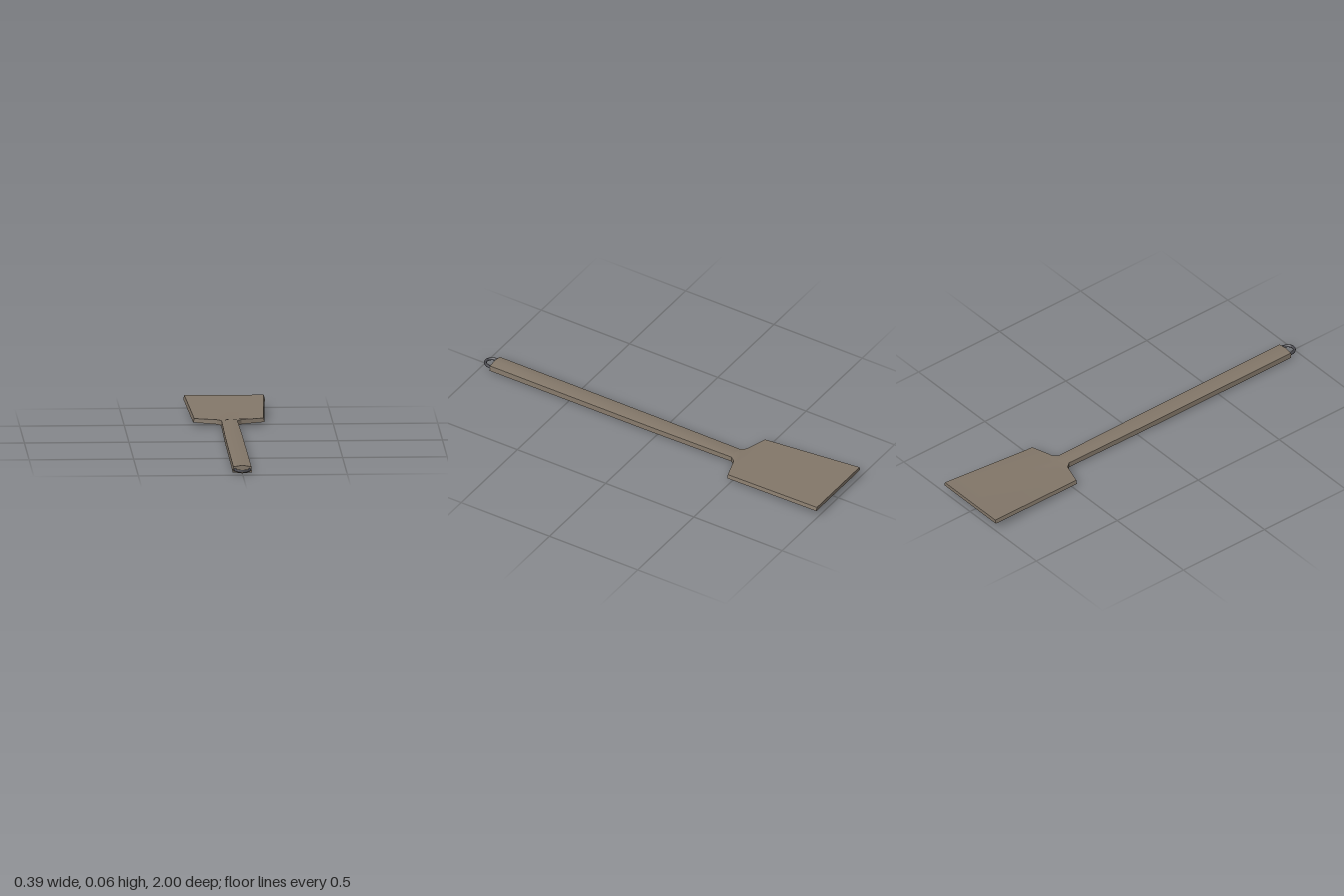
import * as THREE from 'three';
import { toCreasedNormals } from 'three/addons/utils/BufferGeometryUtils.js';

// Loft of six-sided sections, from back to front:
// [z, top half width, bottom half width, top ridge y, top edge y, bottom edge y, bottom ridge y]
function loft(stations) {
  const pos = [], idx = [];
  for (const [z, wt, wb, ridge, top, bottom, keel] of stations) {
    pos.push(0, ridge, z, wt, top, z, wb, bottom, z, 0, keel, z, -wb, bottom, z, -wt, top, z);
  }
  for (let s = 0; s < stations.length - 1; s++) {
    for (let k = 0; k < 6; k++) {
      const a = s * 6 + k, b = s * 6 + (k + 1) % 6;
      idx.push(a, a + 6, b, b, a + 6, b + 6);
    }
  }
  // End caps
  const e = (stations.length - 1) * 6;
  for (let k = 1; k < 5; k++) {
    idx.push(0, k, k + 1);
    idx.push(e, e + k + 1, e + k);
  }
  const g = new THREE.BufferGeometry();
  g.setAttribute('position', new THREE.Float32BufferAttribute(pos, 3));
  g.setIndex(idx);
  return toCreasedNormals(g, 0.5);
}

export function createModel() {
  const group = new THREE.Group();
  const body = new THREE.MeshStandardMaterial({ color: 0x84786a });
  body.name = 'brownGrey';
  const metal = new THREE.MeshStandardMaterial({ color: 0x4a4a50 });
  metal.name = 'darkGrey';

  const add = (name, geometry, material) => {
    const mesh = new THREE.Mesh(geometry, material);
    mesh.name = name;
    group.add(mesh);
  };

  // Handle, slightly slimmer towards the neck
  add('handle', loft([
    [-0.42, 0.038, 0.040, 0.042, 0.036, 0.012, 0.010],
    [0.04, 0.042, 0.044, 0.042, 0.035, 0.009, 0.004],
    [0.65, 0.043, 0.045, 0.042, 0.035, 0.008, 0.003],
    [0.945, 0.043, 0.046, 0.042, 0.035, 0.008, 0.003],
  ]), body);

  // Blade with flared shoulders, rising to the tip
  add('blade', loft([
    [-1, 0.190, 0.195, 0.065, 0.065, 0.046, 0.046],
    [-0.48, 0.166, 0.171, 0.037, 0.037, 0.018, 0.017],
    [-0.445, 0.058, 0.060, 0.039, 0.036, 0.014, 0.013],
    [-0.42, 0.038, 0.040, 0.042, 0.036, 0.012, 0.010],
  ]), body);

  // Hanging loop
  const path = new THREE.CatmullRomCurve3([
    [-0.034, 0.92], [-0.034, 0.95], [-0.028, 0.975], [-0.014, 0.99], [0, 0.993],
    [0.014, 0.99], [0.028, 0.975], [0.034, 0.95], [0.034, 0.92],
  ].map(([x, z]) => new THREE.Vector3(x, 0.021, z)));
  add('hangingLoop', new THREE.TubeGeometry(path, 32, 0.007, 8), metal);

  return group;
}
